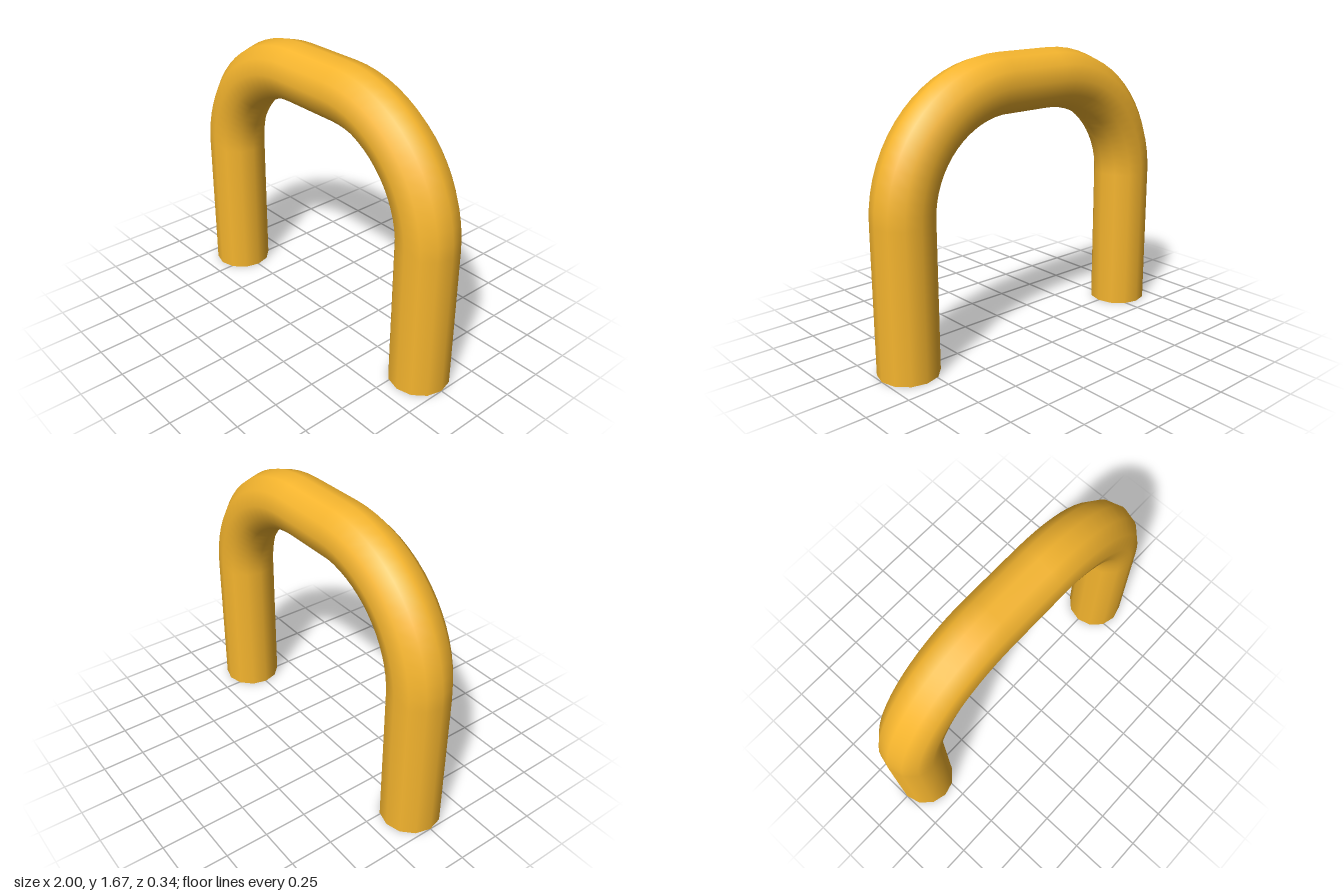
import * as THREE from 'three';

const TUBE = 0.172;   // pipe radius
const SIDES = 12;     // sides of the pipe section
const LEG_X = 0.828;  // leg axis
const LEG_H = 0.85;   // straight part of each leg
const BEND = 0.646;   // bend radius of the pipe axis

export function createModel() {
  const group = new THREE.Group();
  group.name = 'pipeArch';
  const material = new THREE.MeshStandardMaterial({ color: 0xf5b52e, side: THREE.DoubleSide });

  const add = (name, geometry, x, y) => {
    const mesh = new THREE.Mesh(geometry, material);
    mesh.name = name;
    mesh.position.set(x, y, 0);
    group.add(mesh);
    return mesh;
  };
  // Straight pipe, open at both ends
  const pipe = (length) => new THREE.CylinderGeometry(TUBE, TUBE, length, SIDES, 1, true);

  // Legs and quarter bends, mirrored left and right
  const bendX = LEG_X - BEND;
  for (const [side, s] of [['left', 1], ['right', -1]]) {
    add(side + 'Leg', pipe(LEG_H), s * LEG_X, LEG_H / 2);
    const bend = new THREE.TorusGeometry(BEND, TUBE, SIDES, 16, Math.PI / 2);
    if (s < 0) bend.rotateY(Math.PI);
    add(side + 'Bend', bend, s * bendX, LEG_H);
  }

  // Straight top between the bends
  add('crossbar', pipe(2 * bendX).rotateZ(Math.PI / 2), 0, LEG_H + BEND);

  return group;
}
